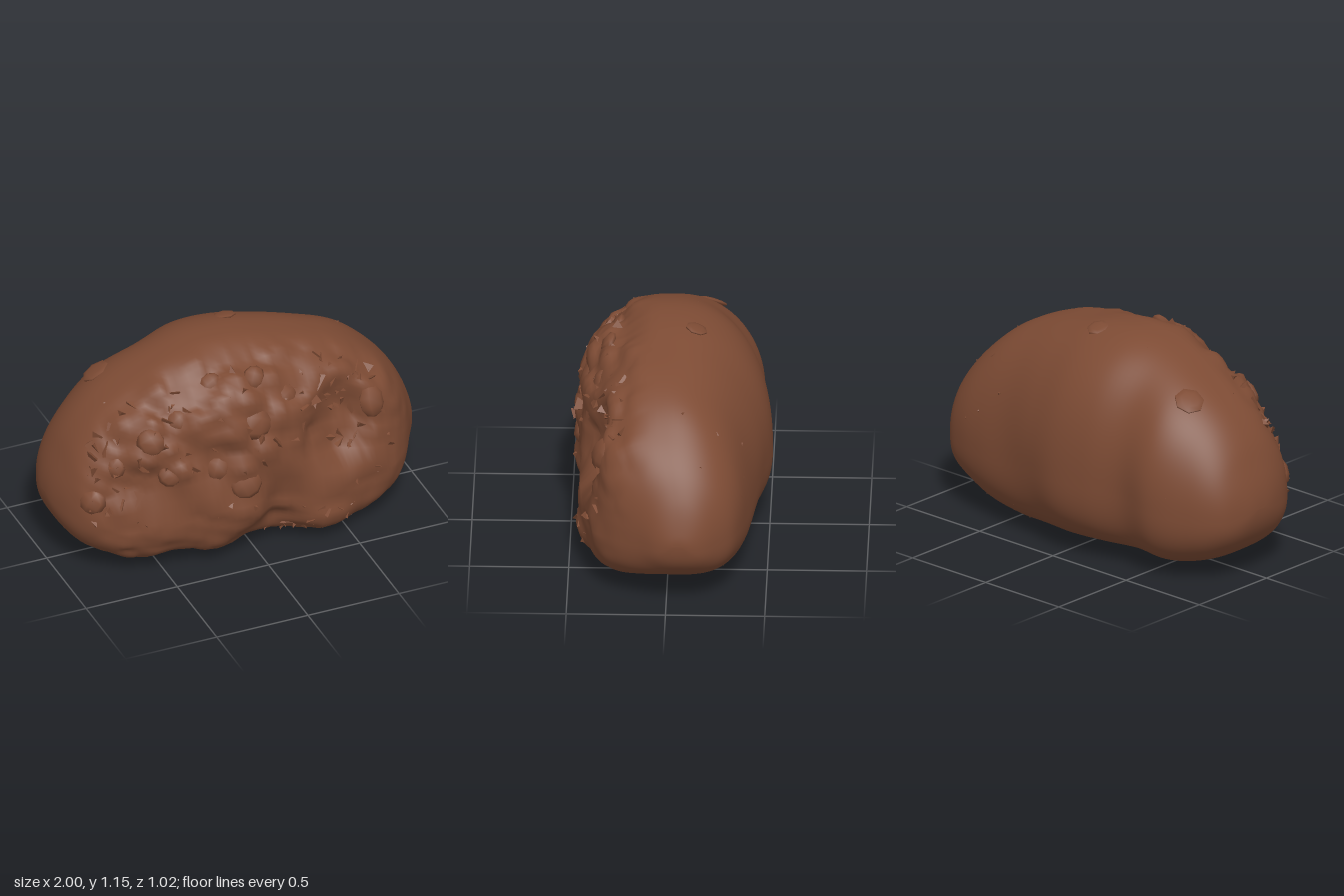
import * as THREE from 'three';

// Seeded random numbers
let seed = 7;
const rand = () => {
  seed = (seed * 16807) % 2147483647;
  return seed / 2147483647;
};
const smooth = THREE.MathUtils.smoothstep;

// Outline stations along the length: x, top y, bottom y, front z, back z
const STATIONS = [
  [-1, 0.39, 0.39, -0.02, -0.06], [-0.985, 0.5, 0.3, 0.09, -0.16], [-0.95, 0.6, 0.23, 0.19, -0.25],
  [-0.9, 0.71, 0.17, 0.27, -0.31], [-0.8, 0.84, 0.1, 0.335, -0.38], [-0.6, 0.995, 0.045, 0.41, -0.465],
  [-0.4, 1.095, 0.035, 0.45, -0.455], [-0.2, 1.15, 0.03, 0.485, -0.505], [0, 1.15, 0.025, 0.5, -0.52],
  [0.2, 1.115, 0.015, 0.49, -0.48], [0.4, 1.065, 0, 0.46, -0.44], [0.6, 0.98, 0.035, 0.41, -0.41],
  [0.75, 0.865, 0.1, 0.37, -0.38], [0.85, 0.75, 0.155, 0.28, -0.335], [0.93, 0.615, 0.22, 0.14, -0.25],
  [0.985, 0.47, 0.3, 0.04, -0.16], [1, 0.39, 0.39, -0.04, -0.08],
];
// Smooth interpolation, spaced so that both ends close roundly
const arc = (x) => Math.acos(THREE.MathUtils.clamp(-x, -1, 1));
const outline = new THREE.CubicInterpolant(
  STATIONS.map((s) => arc(s[0])), STATIONS.flatMap((s) => s.slice(1)), 4, new Array(4));

// Hollows (negative) and swellings (positive) on the front: x, y, x radius, y radius, depth
const FRONT_FORMS = [
  [0.43, 0.67, 0.18, 0.22, -0.12], [0.12, 0.3, 0.12, 0.16, -0.07], [0.04, 0.12, 0.2, 0.12, -0.07],
  [0.36, 0.13, 0.14, 0.09, 0.03], [0.5, 0.41, 0.2, 0.06, 0.02], [-0.62, 0.58, 0.15, 0.1, -0.02],
  [-0.28, 0.7, 0.12, 0.09, -0.02],
];
function form(x, y, [cx, cy, rx, ry, depth]) {
  const d = ((x - cx) / rx) ** 2 + ((y - cy) / ry) ** 2;
  return depth * Math.exp(-d * d);
}

// Cell centres giving the front its lumpy crust
const cells = Array.from({ length: 230 }, () =>
  new THREE.Vector3(rand() * 2 - 1, rand() * 1.2, 0.1 + rand() * 0.45));

// Point on the rock; angle 0 is front, 90 degrees is top
function surface(x, angle) {
  const [top, bottom, front, back] = outline.evaluate(arc(x));
  const c = Math.cos(angle), s = Math.sin(angle);
  const body = smooth(1 - Math.abs(x), 0, 0.3);
  const midY = bottom + (top - bottom) * 0.4;
  const midZ = (front + back) / 2;
  // Squareness of each quarter of the section: the front is blockier than the back
  const n = s > 0 ? (c > 0 ? 2.2 + 0.5 * body : 2.1) : (c > 0 ? 2.6 + 1.2 * body : 2.8);
  const p = new THREE.Vector3(
    x,
    midY + Math.sign(s) * Math.abs(s) ** (2 / n) * (s > 0 ? top - midY : midY - bottom),
    midZ + Math.sign(c) * Math.abs(c) ** (2 / n) * (front - back) / 2);
  const face = smooth(p.z, 0.08, 0.28) * body;
  // Lumpy crust with creases between the lumps, strongest on the upper front
  let near = 1;
  for (const q of cells) near = Math.min(near, q.distanceTo(p));
  const crust = face * (0.35 + 0.65 * smooth(p.y, 0.25, 0.6)) * (x > 0.3 ? 0.6 : 1);
  const grain = Math.sin(p.x * 43 + p.y * 21) * Math.sin(p.y * 39 - p.x * 27 + p.z * 15);
  const dent = crust * (0.045 * smooth(near, 0.04, 0.12) + 0.008 * grain)
    + body * 0.005 * (1 + Math.sin(p.x * 9 + p.z * 7) * Math.sin(p.y * 8 - p.z * 6));
  const { y } = p;
  p.addScaledVector(new THREE.Vector3(0, midY - p.y, midZ - p.z).normalize(), dent);
  for (const f of FRONT_FORMS) p.z += form(x, y, f) * face;
  return p;
}

// Skin made from closed cross-sections, drawn together at each end
function rockGeometry(rows, sides) {
  const pos = [], index = [];
  for (let i = 0; i <= rows; i++) {
    const x = -Math.cos((i / rows) * Math.PI);
    for (let j = 0; j < sides; j++) pos.push(...surface(x, (j / sides) * Math.PI * 2).toArray());
  }
  for (let i = 0; i < rows; i++) {
    for (let j = 0; j < sides; j++) {
      const a = i * sides + j, b = i * sides + ((j + 1) % sides);
      index.push(a, a + sides, b, b, a + sides, b + sides);
    }
  }
  const g = new THREE.BufferGeometry();
  g.setAttribute('position', new THREE.Float32BufferAttribute(pos, 3));
  g.setIndex(index);
  g.computeVertexNormals();
  return g;
}

// Front point nearest to a given height
function frontPoint(x, y) {
  let best = null;
  for (let a = -1.4; a < 1.8; a += 0.03) {
    const p = surface(x, a);
    if (!best || Math.abs(p.y - y) < Math.abs(best.y - y)) best = p;
  }
  return best;
}

export function createModel() {
  const group = new THREE.Group();
  const brown = new THREE.MeshStandardMaterial({ color: 0x7d4b34 });
  brown.name = 'brown rock';
  const add = (name, geometry) => {
    const m = new THREE.Mesh(geometry, brown);
    m.name = name;
    group.add(m);
    return m;
  };

  add('rockBody', rockGeometry(96, 100));

  // Rounded pebbles sunk into the front: x, y, radius
  const pebbleGeo = new THREE.SphereGeometry(1, 7, 5);
  const pebbles = [
    [-0.04, 0.84, 0.1], [-0.58, 0.81, 0.075], [-0.87, 0.48, 0.07], [0.65, 0.73, 0.09],
    [-0.24, 0.6, 0.07], [-0.42, 0.88, 0.06], [0.0, 1.03, 0.06], [-0.1, 0.48, 0.085],
    [0.16, 0.9, 0.06], [-0.75, 0.66, 0.06], [-0.5, 0.62, 0.06], [-0.22, 1.02, 0.06],
  ];
  for (const [x, y, r] of pebbles) {
    const p = frontPoint(x, y);
    const m = add('pebble', pebbleGeo);
    m.position.set(p.x * 0.99, p.y - r * 0.1, p.z - r * 0.15);
    m.scale.set(r, r, r * 0.5);
    m.rotation.set(-p.y * 0.5, p.x * 0.7, rand() * 3);
  }

  // Low pebbles on the top
  for (const [x, a, r] of [[-0.65, 1.95, 0.08], [0.03, 1.8, 0.06]]) {
    const m = add('topPebble', pebbleGeo);
    m.position.copy(surface(x, a));
    m.scale.set(r, r * 0.2, r);
    m.rotation.set(-0.3, 0, x < -0.3 ? 0.5 : 0);
  }

  // Sharp chips half buried in the skin, dense on the front and sparse elsewhere
  const chipGeo = new THREE.TetrahedronGeometry(1);
  const addChip = (x, a, size) => {
    const m = add('chip', chipGeo);
    const p = surface(x, a);
    m.position.set(p.x * 0.985, 0.5 + (p.y - 0.5) * 0.97, p.z * 0.96);
    m.scale.set(size, size * 0.6, size * 0.55);
    m.rotation.set(rand() * 6, rand() * 6, rand() * 6);
  };
  for (let i = 0; i < 130; i++) {
    const x = -0.88 + 1.65 * rand() ** 1.25;
    addChip(x, -0.1 + rand() * 1.3, 0.035 + rand() * 0.04);
  }
  for (let i = 0; i < 24; i++) addChip(0.02 + rand() * 0.5, -0.9 + rand() * 0.7, 0.03 + rand() * 0.03);
  for (let i = 0; i < 40; i++) addChip(rand() * 1.8 - 0.9, 1.3 + rand() * 3, 0.024 + rand() * 0.015);

  return group;
}
